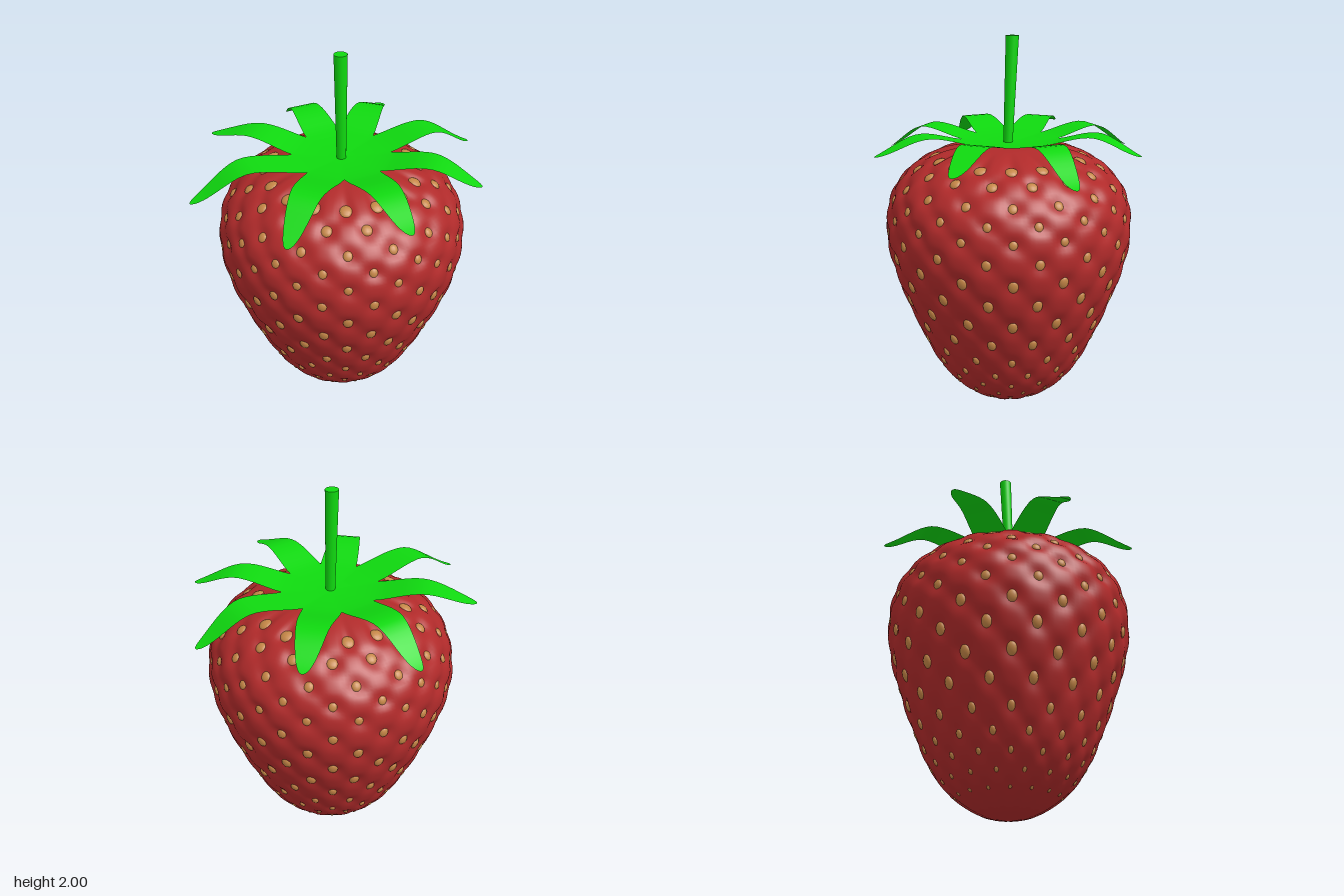
import * as THREE from 'three';
import { mergeGeometries, mergeVertices } from 'three/addons/utils/BufferGeometryUtils.js';

const CX = 0.017;
const PER_ROW = 16;

// Seed rows from top to bottom: height, half width, half length
const ROWS = [
  [1.41, 0.034, 0.034], [1.36, 0.028, 0.028], [1.28, 0.023, 0.025], [1.2, 0.021, 0.023],
  [1.12, 0.021, 0.022], [1.02, 0.023, 0.026], [0.91, 0.025, 0.032], [0.795, 0.025, 0.034],
  [0.67, 0.025, 0.035], [0.55, 0.022, 0.032], [0.43, 0.018, 0.027], [0.33, 0.015, 0.022],
  [0.25, 0.012, 0.018], [0.175, 0.01, 0.014], [0.11, 0.008, 0.011],
];

// Berry outline: radius, height
const PROFILE = new THREE.CatmullRomCurve3([
  [0, 0.005], [0.14, 0.035], [0.29, 0.13], [0.39, 0.25], [0.475, 0.42], [0.555, 0.62],
  [0.62, 0.82], [0.65, 1.03], [0.61, 1.22], [0.505, 1.345], [0.36, 1.42], [0.2, 1.45], [0, 1.456],
].map(([r, y]) => new THREE.Vector3(r, y, 0)));

// Curve parameter at a height
function paramAt(y) {
  let a = 0, b = 1;
  for (let i = 0; i < 30; i++) {
    const m = (a + b) / 2;
    if (PROFILE.getPoint(m).y < y) a = m; else b = m;
  }
  return a;
}

// Depth of the quilted pits: deepest at each seed
function pitDepth(angle, y) {
  const last = ROWS.length - 1;
  let row, fade = 1;
  if (y >= ROWS[0][0]) {
    row = 0;
    fade = Math.max(0, 1 - (y - ROWS[0][0]) / 0.04);
  } else if (y <= ROWS[last][0]) {
    row = last;
    fade = Math.max(0, y / ROWS[last][0]);
  } else {
    const i = ROWS.findIndex((r) => r[0] < y);
    row = i - (y - ROWS[i][0]) / (ROWS[i - 1][0] - ROWS[i][0]);
  }
  const lattice = 0.5 + 0.5 * Math.cos(PER_ROW * angle) * Math.cos(Math.PI * row);
  return 0.022 * fade * Math.min(1, 0.25 + y) * lattice ** 2;
}

function berryGeometry() {
  const points = PROFILE.getSpacedPoints(130).map((p) => new THREE.Vector2(Math.max(0, p.x), p.y));
  const geo = new THREE.LatheGeometry(points, 192);
  const pos = geo.attributes.position, nor = geo.attributes.normal;
  for (let i = 0; i < pos.count; i++) {
    const x = pos.getX(i), y = pos.getY(i), z = pos.getZ(i);
    const d = Math.hypot(x, z) < 0.02 ? 0 : pitDepth(Math.atan2(x, z), y);
    pos.setXYZ(i, x - nor.getX(i) * d, y - nor.getY(i) * d, z - nor.getZ(i) * d);
  }
  geo.deleteAttribute('uv');
  geo.deleteAttribute('normal');
  const welded = mergeVertices(geo, 1e-5);
  welded.computeVertexNormals();
  return welded;
}

// Flattened ellipsoids lying on the berry, every other row shifted by half a step
function seedsGeometry() {
  const seeds = [];
  ROWS.forEach(([y, w, h], row) => {
    const t = paramAt(y);
    const p = PROFILE.getPoint(t), tan = PROFILE.getTangent(t);
    const tilt = Math.atan2(tan.x, tan.y);
    for (let k = 0; k < PER_ROW; k++) {
      const angle = ((k + (row % 2) / 2) / PER_ROW) * Math.PI * 2;
      const sink = pitDepth(angle, y) - 0.003;
      seeds.push(new THREE.SphereGeometry(1, 12, 8)
        .scale(w, h, 0.25 * (w + h))
        .rotateX(tilt)
        .translate(0, p.y + Math.sin(tilt) * sink, p.x - Math.cos(tilt) * sink)
        .rotateY(angle));
    }
  });
  return mergeGeometries(seeds);
}

// Leaf tips (x, y, z) around the calyx
const TIPS = [
  [0.29, 1.45, 0.655], [0.677, 1.44, 0.27], [0.715, 1.39, -0.273], [0.28, 1.44, -0.64],
  [-0.254, 1.39, -0.665], [-0.654, 1.465, -0.285], [-0.72, 1.385, 0.265], [-0.258, 1.39, 0.65],
];

function calyxGeometry() {
  const CORE = 5, LEAF = 20, COLS = 8, PEAK = 0.47;
  const notch = (i) => {
    const a = (i / 8) * Math.PI * 2;
    return new THREE.Vector2(CX + 0.248 * Math.sin(a), 0.248 * Math.cos(a) - 0.005);
  };
  const centre = new THREE.Vector2(CX, -0.005);
  const leafHeight = (t, tipY) => (t < PEAK
    ? 1.478 + 0.052 * THREE.MathUtils.smoothstep(t, -0.1, PEAK)
    : THREE.MathUtils.lerp(1.53, tipY, THREE.MathUtils.smoothstep(t, PEAK, 1.08) / 0.955));
  const verts = [], index = [];
  TIPS.forEach(([tx, ty, tz], i) => {
    const a = notch(i), b = notch(i + 1);
    const base = a.clone().add(b).multiplyScalar(0.5);
    const half = b.clone().sub(a).multiplyScalar(0.5);
    const tip = new THREE.Vector2(tx, tz);
    const start = verts.length / 3;
    for (let r = 0; r <= CORE + LEAF; r++) {
      const inCore = r < CORE;
      const u = r / CORE;
      // rows crowd towards the rounded tip
      const t = inCore ? 0 : Math.sin(((r - CORE) / LEAF) * Math.PI / 2);
      const mid = inCore ? centre.clone().lerp(base, u) : base.clone().lerp(tip, t);
      const width = inCore ? u : Math.sqrt(Math.max(0, 1 - t ** 1.5));
      const y = inCore ? 1.466 + (leafHeight(0, ty) - 1.466) * u * u : leafHeight(t, ty);
      for (let c = 0; c <= COLS; c++) {
        const s = ((c / COLS) * 2 - 1) * width;
        verts.push(mid.x + half.x * s, y, mid.y + half.y * s);
      }
    }
    for (let r = 0; r < CORE + LEAF; r++) {
      for (let c = 0; c < COLS; c++) {
        const p = start + r * (COLS + 1) + c, q = p + COLS + 1;
        index.push(p, q, q + 1, p, q + 1, p + 1);
      }
    }
  });
  const geo = new THREE.BufferGeometry();
  geo.setAttribute('position', new THREE.Float32BufferAttribute(verts, 3));
  geo.setIndex(index);
  const welded = mergeVertices(geo, 1e-4);
  welded.computeVertexNormals();
  return welded;
}

export function createModel() {
  const group = new THREE.Group();
  const add = (name, geo, color, side = THREE.FrontSide) => {
    const mesh = new THREE.Mesh(geo, new THREE.MeshStandardMaterial({ color, side }));
    mesh.name = name;
    group.add(mesh);
    return mesh;
  };

  add('berry', berryGeometry(), 0xb02a2a).position.x = CX;
  add('seeds', seedsGeometry(), 0xc48646).position.x = CX;
  add('calyx', calyxGeometry(), 0x0fd80f, THREE.DoubleSide);

  // Stem: widens upwards and leans slightly back
  const stem = new THREE.CylinderGeometry(0.033, 0.024, 0.54, 24, 4);
  const pos = stem.attributes.position;
  for (let i = 0; i < pos.count; i++) {
    const k = pos.getY(i) / 0.54 + 0.5;
    pos.setXYZ(i, pos.getX(i) + 0.016 - 0.004 * k, 1.46 + 0.54 * k, pos.getZ(i) + 0.004 - 0.022 * k);
  }
  add('stem', stem, 0x0fd80f);

  return group;
}
